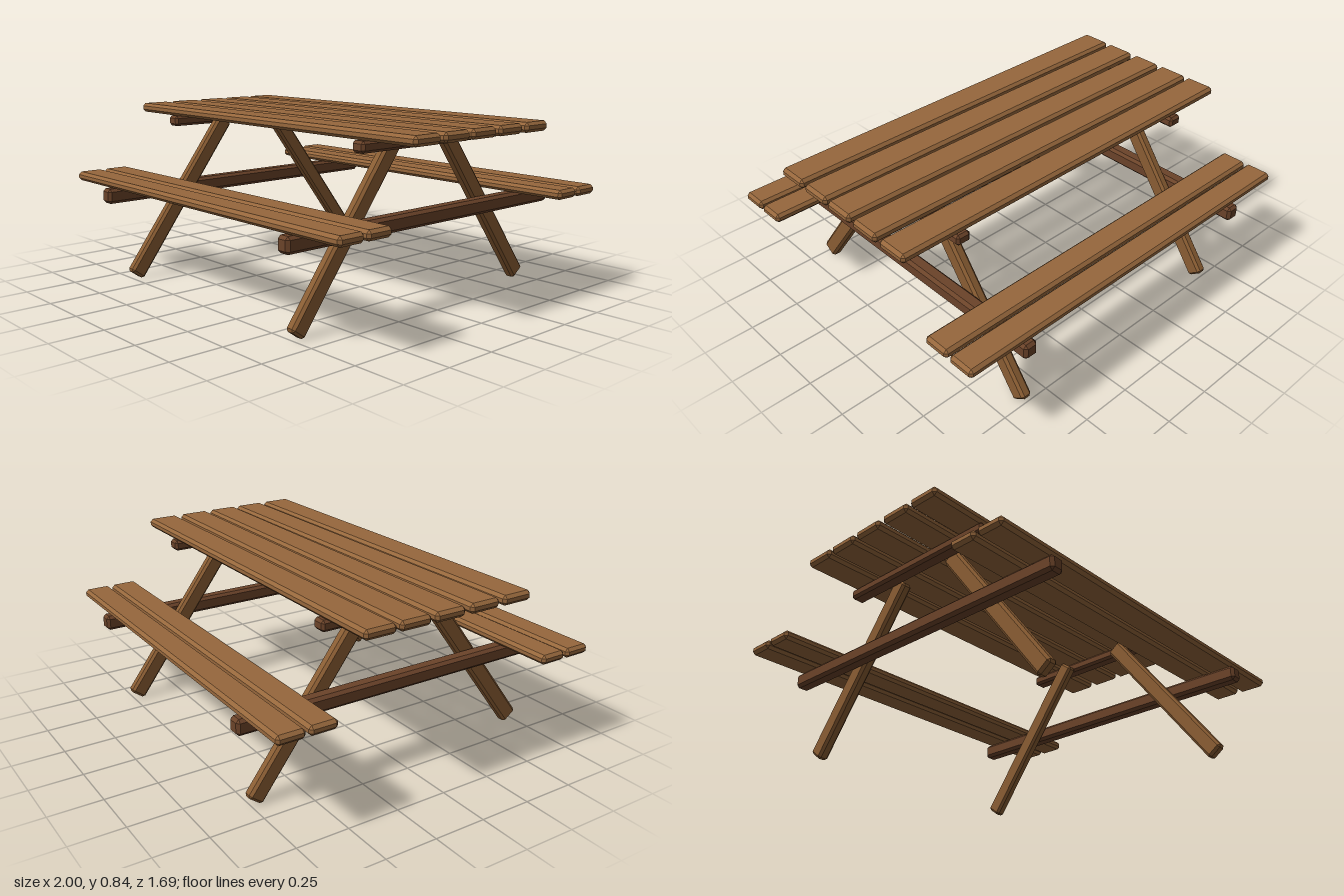
import * as THREE from 'three';
import { ConvexGeometry } from 'three/addons/geometries/ConvexGeometry.js';

const plankWood = new THREE.MeshStandardMaterial({ color: 0x96673c });
const legWood = new THREE.MeshStandardMaterial({ color: 0x8a5d33 });
const beamWood = new THREE.MeshStandardMaterial({ color: 0x6b4329 });

// Box with a single flat chamfer of size c on every edge
function chamferBox(w, h, d, c) {
  const points = [];
  for (const x of [-w / 2, w / 2])
    for (const y of [-h / 2, h / 2])
      for (const z of [-d / 2, d / 2]) {
        const ix = x - Math.sign(x) * c, iy = y - Math.sign(y) * c, iz = z - Math.sign(z) * c;
        points.push(
          new THREE.Vector3(x, iy, iz),
          new THREE.Vector3(ix, y, iz),
          new THREE.Vector3(ix, iy, z));
      }
  return new ConvexGeometry(points);
}

export function createModel() {
  const table = new THREE.Group();
  table.name = 'picnicTable';

  function addPart(name, geometry, material, x, y, z) {
    const mesh = new THREE.Mesh(geometry, material);
    mesh.name = name;
    mesh.position.set(x, y, z);
    table.add(mesh);
    return mesh;
  }

  // Table top: five planks, each laid very slightly askew
  const topPlank = chamferBox(1.99, 0.046, 0.157, 0.014);
  const skew = [0.003, -0.002, -0.003, 0.004, 0.005];
  skew.forEach((angle, i) => {
    addPart('tableTopPlank', topPlank, plankWood, 0, 0.833, (i - 2) * 0.178).rotation.y = angle;
  });

  // Two benches of two planks each
  const benchPlank = chamferBox(2, 0.045, 0.134, 0.014);
  for (const side of [-1, 1])
    for (const z of [0.615, 0.763])
      addPart('benchPlank', benchPlank, plankWood, 0, 0.501, side * z);

  const cleat = chamferBox(0.072, 0.052, 0.89, 0.012);
  const beam = chamferBox(0.072, 0.074, 1.69, 0.014);

  // Leg centre line, from foot to table top, in the z-y plane
  const foot = new THREE.Vector2(0.731, 0.032);
  const head = new THREE.Vector2(0.167, 0.785);
  const leg = chamferBox(0.054, foot.distanceTo(head), 0.084, 0.012);
  const lean = Math.atan2(foot.x - head.x, head.y - foot.y);

  // Two A-frames: top cleat, bench beam and a pair of splayed legs
  for (const end of [-1, 1]) {
    addPart('tableTopCleat', cleat, beamWood, end * 0.686, 0.784, 0);
    addPart('benchBeam', beam, beamWood, end * 0.686, 0.438, 0);
    for (const side of [-1, 1]) {
      addPart('leg', leg, legWood, end * 0.623, (foot.y + head.y) / 2, side * (foot.x + head.x) / 2)
        .rotation.x = -side * lean;
    }
  }

  return table;
}
